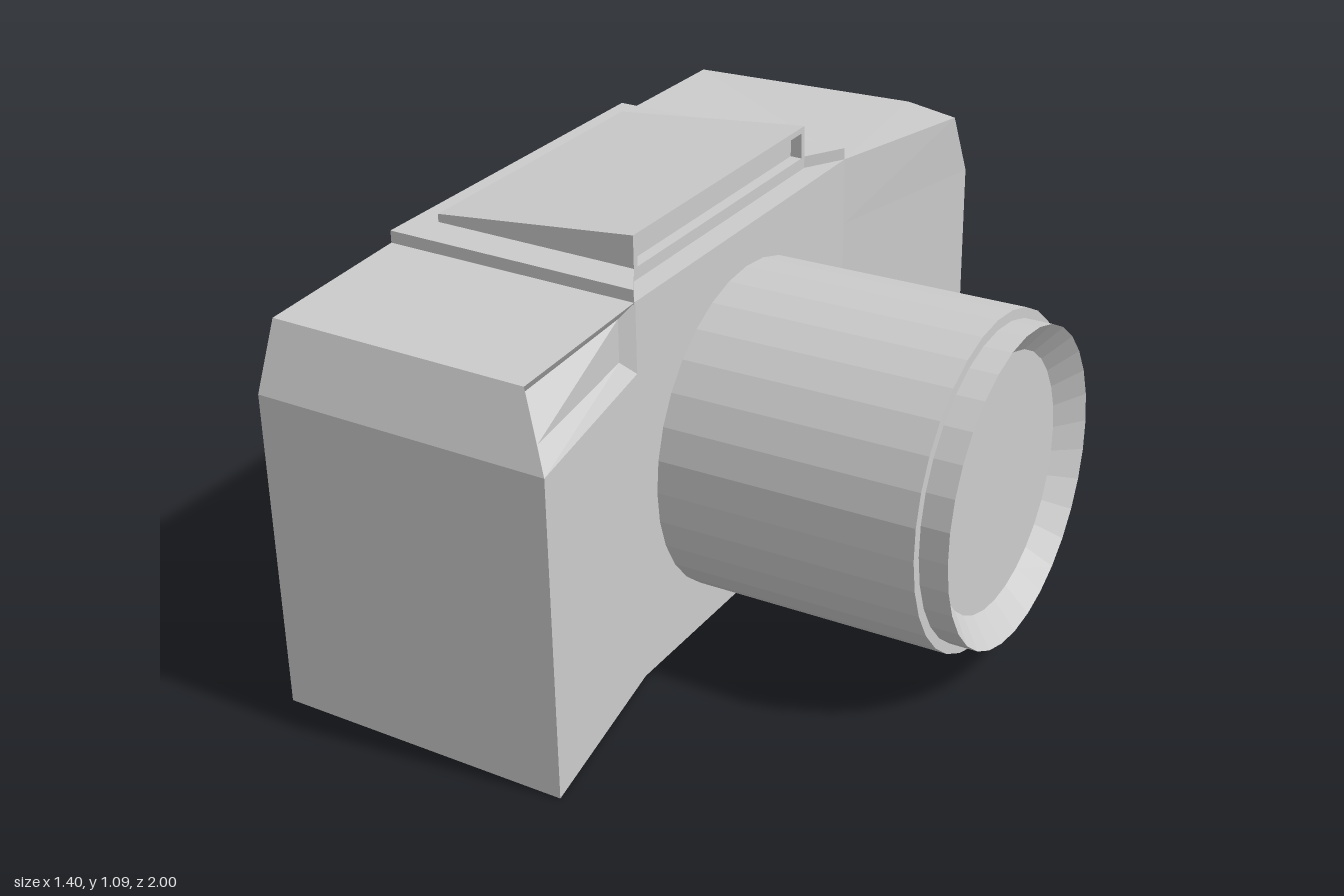
import * as THREE from 'three';

const material = new THREE.MeshStandardMaterial({ color: 0xcccccc, flatShading: true });

// Flat-shaded mesh from polygons, each a counter-clockwise list of [x, y, z]
function polyMesh(name, polygons) {
  const pos = [];
  for (const p of polygons)
    for (let i = 1; i < p.length - 1; i++) pos.push(...p[0], ...p[i], ...p[i + 1]);
  const geometry = new THREE.BufferGeometry();
  geometry.setAttribute('position', new THREE.Float32BufferAttribute(pos, 3));
  geometry.computeVertexNormals();
  const mesh = new THREE.Mesh(geometry, material);
  mesh.name = name;
  return mesh;
}

// Quads joining one loop to the next
const band = (a, b) => a.map((p, i) => {
  const j = (i + 1) % a.length;
  return [p, a[j], b[j], b[i]];
});

function createBody() {
  // Footprint as [x, z], starting at the grip corner
  const outline = [[0.06, 1], [-0.03, 0.51], [-0.03, -0.46], [0.08, -0.95], [-0.08, -1],
    [-0.69, -0.95], [-0.69, -0.46], [-0.69, 0.51], [-0.69, 1]];
  const base = outline.map(([x, z]) => [x, 0, z]);
  const shoulder = outline.map(([x, z]) => [x, 0.8, z]);
  const top = [[-0.03, 0.955, 0.93], [-0.03, 0.975, 0.51], [-0.03, 0.975, -0.46],
    [0.07, 0.965, -0.89], [-0.09, 0.965, -0.94], [-0.7, 0.965, -0.89],
    [-0.69, 0.975, -0.46], [-0.69, 0.975, 0.51], [-0.69, 0.955, 0.93]];
  const strips = [[0, 1, 7, 8], [1, 2, 6, 7], [2, 3, 4, 5, 6]];

  // Window recess above the grip replaces the first shoulder panel
  const rim = [shoulder[0], shoulder[1], top[1], top[0]];
  const recess = [[0.01, 0.84, 0.95], [-0.05, 0.84, 0.55], [-0.05, 0.945, 0.55], [-0.05, 0.925, 0.92]];

  return polyMesh('body', [
    ...band(base, shoulder),
    ...band(shoulder, top).slice(1),
    ...band(rim, recess), recess,
    ...strips.map(s => s.map(i => top[i])),
    ...strips.map(s => s.map(i => base[i]).reverse()),
  ]);
}

// Thin plate on top with a notch at the front
function createTopPlate() {
  const outline = [[-0.69, 0.515], [-0.03, 0.515], [-0.09, 0.42], [-0.09, -0.36], [-0.03, -0.46], [-0.69, -0.46]];
  const shape = new THREE.Shape(outline.map(([x, z]) => new THREE.Vector2(x, -z)));
  const geometry = new THREE.ExtrudeGeometry(shape, { depth: 0.035, bevelEnabled: false });
  geometry.rotateX(-Math.PI / 2).translate(0, 0.97, 0);
  const mesh = new THREE.Mesh(geometry, material);
  mesh.name = 'topPlate';
  return mesh;
}

// Wedge-shaped flash housing with a recessed front window
function createFlash() {
  const rect = (x, y0, y1, z0, z1) => [[x, y0, z0], [x, y0, z1], [x, y1, z1], [x, y1, z0]];
  const back = rect(-0.625, 0.975, 1.025, 0.42, -0.36);
  const front = rect(-0.09, 0.975, 1.085, 0.42, -0.36);
  const frame = rect(-0.09, 1.0, 1.07, 0.405, -0.345);
  const pane = rect(-0.12, 1.0, 1.07, 0.405, -0.345);
  return polyMesh('flash', [
    ...band(back, front), ...band(front, frame), ...band(frame, pane), pane,
    [...back].reverse(),
  ]);
}

// Lens barrel, stepped front ring, inner cone and glass, turned in one profile
function createLens() {
  const profile = [[0, -0.1], [0.41, -0.1], [0.41, 0.625], [0.385, 0.625],
    [0.385, 0.695], [0.315, 0.64], [0, 0.64]].map(([r, h]) => new THREE.Vector2(r, h));
  const geometry = new THREE.LatheGeometry(profile, 32);
  geometry.rotateZ(-Math.PI / 2 + 0.018);
  const mesh = new THREE.Mesh(geometry, material);
  mesh.name = 'lens';
  mesh.position.set(0, 0.464, 0.03);
  return mesh;
}

export function createModel() {
  const group = new THREE.Group();
  group.name = 'camera';
  group.add(createBody(), createTopPlate(), createFlash(), createLens());
  return group;
}
